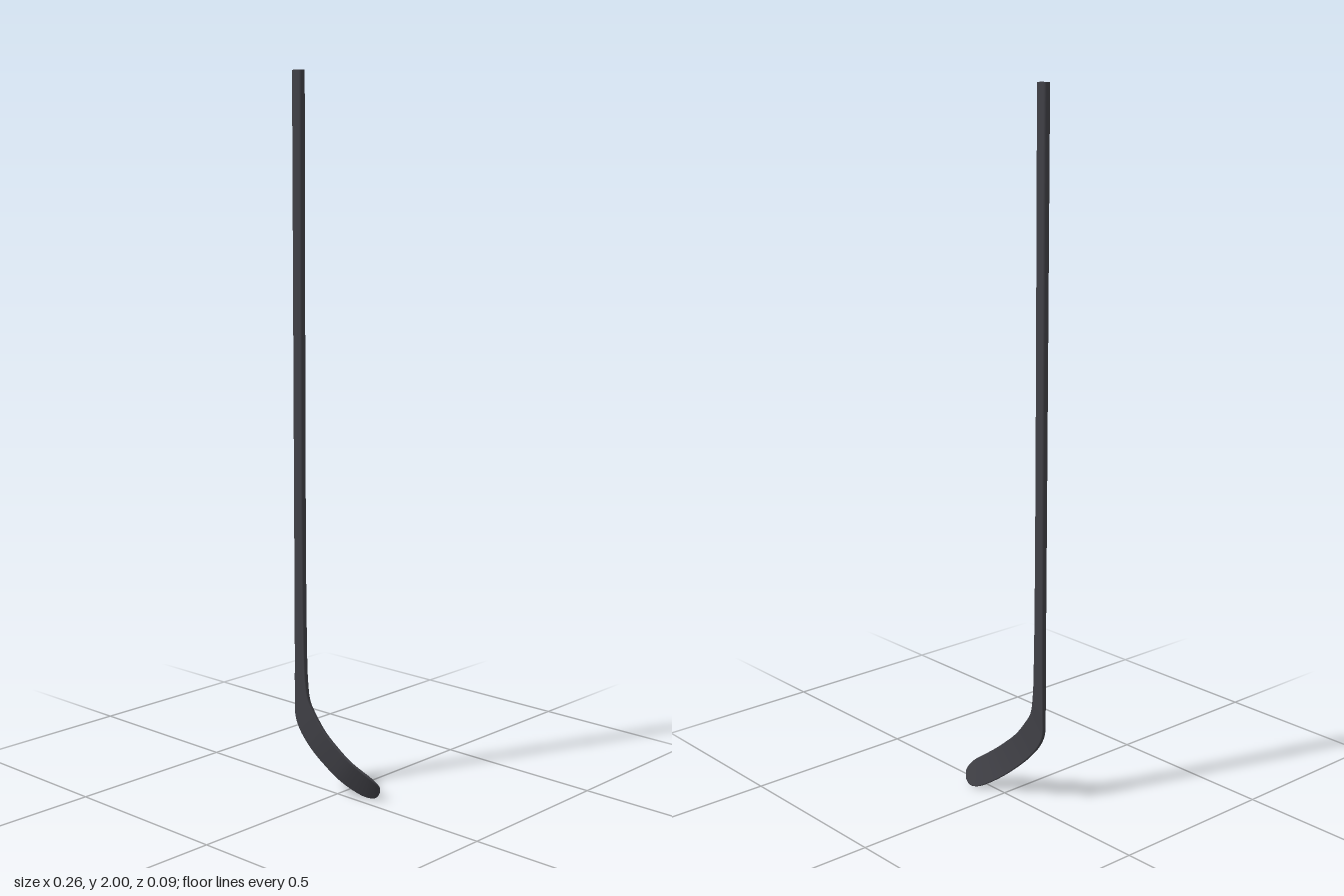
import * as THREE from 'three';

// Stations from butt end to toe: upper edge x,y,z | lower edge x,y,z | thickness
const STATIONS = [
  [-0.094, 2, 0.034, -0.128, 2, 0.034, 0.021],
  [-0.094, 0.8, 0.034, -0.128, 0.8, 0.034, 0.018],
  [-0.091, 0.45, 0.034, -0.128, 0.42, 0.034, 0.016],
  [-0.086, 0.32, 0.034, -0.128, 0.27, 0.035, 0.014],
  [-0.076, 0.265, 0.034, -0.125, 0.21, 0.036, 0.012],
  [-0.053, 0.228, 0.033, -0.108, 0.172, 0.035, 0.011],
  [-0.02, 0.185, 0.029, -0.07, 0.125, 0.03, 0.01],
  [0.02, 0.147, 0.022, -0.03, 0.085, 0.019, 0.009],
  [0.06, 0.113, 0.012, 0.01, 0.05, 0.006, 0.008],
  [0.09, 0.09, -0.001, 0.05, 0.02, -0.016, 0.008],
  [0.11, 0.074, -0.012, 0.078, 0.005, -0.033, 0.008],
  [0.122, 0.06, -0.022, 0.1, 0.004, -0.043, 0.007],
  [0.127, 0.046, -0.032, 0.115, 0.015, -0.044, 0.006],
  [0.126, 0.036, -0.036, 0.122, 0.026, -0.04, 0.004],
];
const LAST = STATIONS.length - 1;
const curve = (pick) => new THREE.CatmullRomCurve3(STATIONS.map((s) => new THREE.Vector3(...pick(s))));
const upper = curve((s) => s.slice(0, 3));
const lower = curve((s) => s.slice(3, 6));
const middle = (t) => upper.getPoint(t).add(lower.getPoint(t)).multiplyScalar(0.5);

// Rounded-rectangle section across the stick at t
function section(t) {
  const i = Math.min(Math.floor(t * LAST), LAST - 1);
  const thick = THREE.MathUtils.lerp(STATIONS[i][6], STATIONS[i + 1][6], t * LAST - i);
  const across = lower.getPoint(t).sub(upper.getPoint(t));
  const halfW = across.length() / 2, halfT = thick / 2;
  across.normalize();
  const along = middle(Math.min(t + 0.002, 1)).sub(middle(Math.max(t - 0.002, 0)));
  const normal = across.clone().cross(along).normalize();
  const r = Math.min(halfW, halfT) * 0.6, centre = middle(t), ring = [];
  for (let corner = 0; corner < 4; corner++) {
    const sx = corner === 0 || corner === 3 ? 1 : -1, sy = corner < 2 ? 1 : -1;
    for (let k = 0; k <= 4; k++) {
      const a = (corner + k / 4) * Math.PI / 2;
      ring.push(centre.clone()
        .addScaledVector(across, sx * (halfW - r) + Math.cos(a) * r)
        .addScaledVector(normal, sy * (halfT - r) + Math.sin(a) * r));
    }
  }
  return ring;
}

// Skin between stations, with an optional flat cap at either end
function loft(from, to, steps, capStart, capEnd) {
  const pos = [], index = [];
  const rings = Array.from({ length: steps + 1 }, (_, i) => section((from + (to - from) * i / steps) / LAST));
  const n = rings[0].length;
  rings.forEach((ring) => ring.forEach((p) => pos.push(p.x, p.y, p.z)));
  for (let i = 0; i < steps; i++) {
    for (let j = 0; j < n; j++) {
      const a = i * n + j, b = i * n + (j + 1) % n;
      index.push(a, a + n, b, b, a + n, b + n);
    }
  }
  const cap = (ring, flip) => {
    const base = pos.length / 3;
    ring.forEach((p) => pos.push(p.x, p.y, p.z));
    for (let j = 1; j < n - 1; j++) {
      index.push(base, base + (flip ? j + 1 : j), base + (flip ? j : j + 1));
    }
  };
  if (capStart) cap(rings[0], false);
  if (capEnd) cap(rings[steps], true);
  const geometry = new THREE.BufferGeometry();
  geometry.setAttribute('position', new THREE.Float32BufferAttribute(pos, 3));
  geometry.setIndex(index);
  geometry.computeVertexNormals();
  return geometry;
}

export function createModel() {
  const group = new THREE.Group();
  group.name = 'hockeyStick';
  const material = new THREE.MeshStandardMaterial({ color: 0x404046 });
  const add = (name, geometry) => {
    const mesh = new THREE.Mesh(geometry, material);
    mesh.name = name;
    group.add(mesh);
  };
  // Long tapering shaft, then the curved and twisted blade
  add('shaft', loft(0, 3, 24, true, false));
  add('blade', loft(3, LAST, 60, false, true));
  return group;
}
